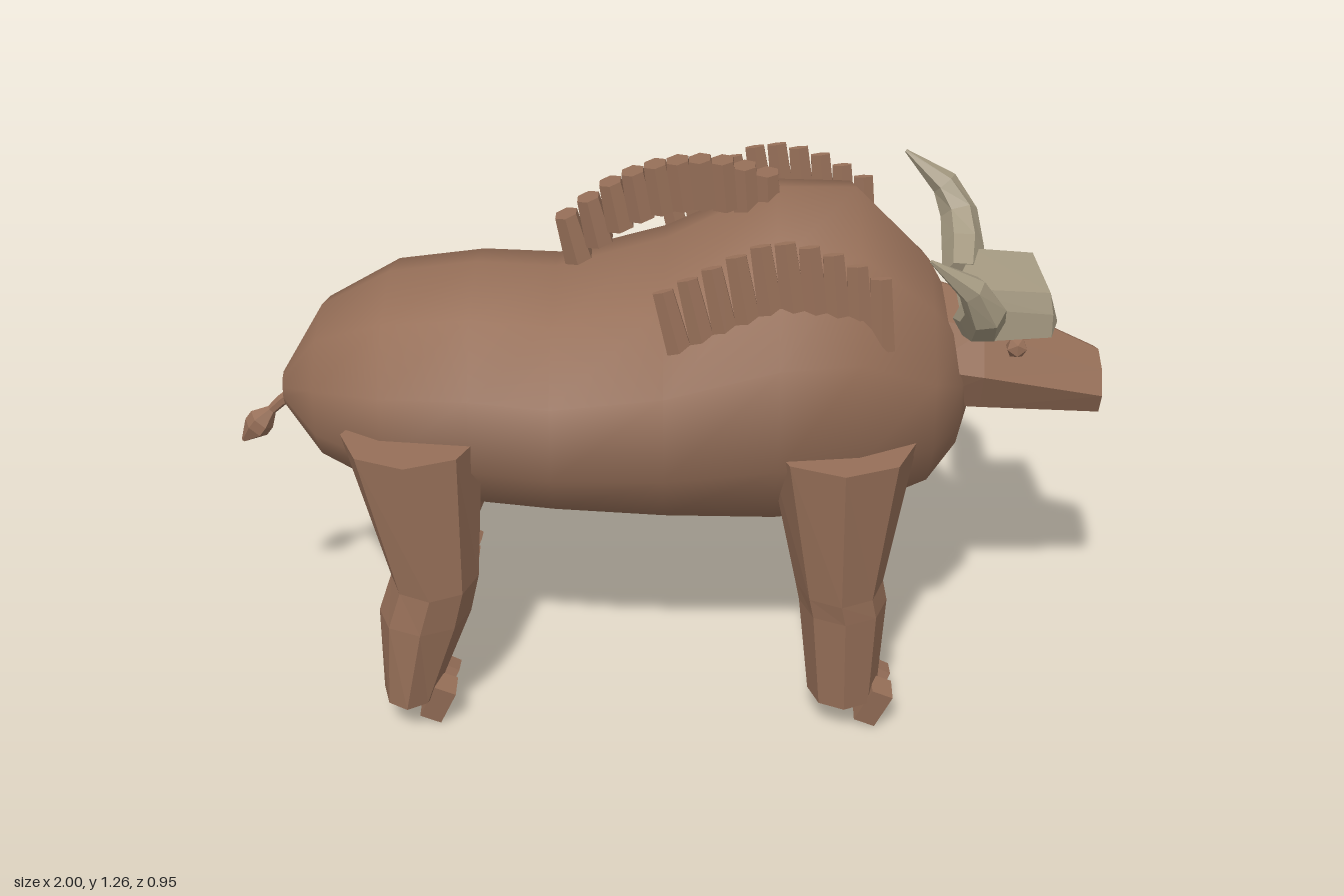
import * as THREE from 'three';

const hide = new THREE.MeshStandardMaterial({ color: 0x966f58 });
hide.name = 'brown hide';
const horn = new THREE.MeshStandardMaterial({ color: 0xa39880 });
horn.name = 'pale horn';

// Closed loft through rings of equal point count; turned outward by its signed volume
function loft(rings, smooth = false) {
  const n = rings[0].length;
  const pts = rings.flat();
  const idx = [];
  for (let i = 0; i < rings.length - 1; i++) {
    for (let j = 0; j < n; j++) {
      const a = i * n + j, b = i * n + (j + 1) % n;
      idx.push(a, b, a + n, b, b + n, a + n);
    }
  }
  [0, rings.length - 1].forEach((r, end) => {
    const mid = new THREE.Vector3();
    rings[r].forEach(p => mid.addScaledVector(p, 1 / n));
    pts.push(mid);
    for (let j = 0; j < n; j++) {
      const a = r * n + j, b = r * n + (j + 1) % n;
      if (end) idx.push(a, b, pts.length - 1);
      else idx.push(b, a, pts.length - 1);
    }
  });
  let volume = 0;
  for (let i = 0; i < idx.length; i += 3) {
    volume += pts[idx[i]].dot(pts[idx[i + 1]].clone().cross(pts[idx[i + 2]]));
  }
  if (volume < 0) idx.reverse();
  const g = new THREE.BufferGeometry().setFromPoints(pts);
  g.setIndex(idx);
  if (smooth) { g.computeVertexNormals(); return g; }
  return flat(g);
}

function flat(g) {
  const f = g.index ? g.toNonIndexed() : g;
  f.computeVertexNormals();
  return f;
}

// Elliptical ring: centre c, spanned by vectors u and v
function ring(c, u, v, n) {
  return Array.from({ length: n }, (_, i) => {
    const a = i / n * Math.PI * 2;
    return c.clone().addScaledVector(u, Math.cos(a)).addScaledVector(v, Math.sin(a));
  });
}
const V = (x, y, z) => new THREE.Vector3(x, y, z);

// Ring standing across the x axis, first corner straight up
const crossRing = (x, y0, y1, rz, n) =>
  ring(V(x, (y0 + y1) / 2, 0), V(0, (y1 - y0) / 2, 0), V(0, 0, rz), n);

// Tapering tube along a list of [x, y, z, radius]
function taper(path, n) {
  const c = path.map(p => V(p[0], p[1], p[2]));
  return loft(path.map((p, i) => {
    const t = c[Math.min(i + 1, c.length - 1)].clone().sub(c[Math.max(i - 1, 0)]).normalize();
    const u = V(1, 0, 0).addScaledVector(t, -t.x).normalize();
    const v = t.clone().cross(u);
    return ring(c[i], u.multiplyScalar(p[3]), v.multiplyScalar(p[3]), n);
  }));
}

export function createModel() {
  const model = new THREE.Group();
  const add = (name, geo, mat = hide, parent = model) => {
    const m = new THREE.Mesh(geo, mat);
    m.name = name;
    parent.add(m);
    return m;
  };

  // Body: x, bottom, top, half width
  add('body', loft([
    [-0.89, 0.64, 0.72, 0.03], [-0.79, 0.54, 0.89, 0.22], [-0.63, 0.47, 0.975, 0.33],
    [-0.43, 0.44, 1.0, 0.355], [-0.25, 0.425, 0.99, 0.37], [0, 0.412, 1.06, 0.4],
    [0.25, 0.405, 1.185, 0.425], [0.43, 0.42, 1.185, 0.4], [0.6, 0.49, 1.01, 0.3],
    [0.67, 0.57, 0.88, 0.18], [0.7, 0.65, 0.78, 0.06],
  ].map(s => crossRing(...s, 10)), true));

  // Head
  add('head', loft([
    crossRing(0.58, 0.66, 0.97, 0.17, 8),
    crossRing(0.72, 0.655, 0.925, 0.16, 8),
    crossRing(1.0, 0.64, 0.79, 0.095, 8),
  ]));

  // Folded horn boss across the forehead
  add('hornBoss', loft([
    [-0.18, [[0.72, 0.89], [0.86, 0.9], [0.86, 0.955], [0.72, 0.965]]],
    [0, [[0.63, 0.88], [0.9, 0.86], [0.88, 0.93], [0.66, 0.94]]],
    [0.18, [[0.72, 0.89], [0.86, 0.9], [0.86, 0.955], [0.72, 0.965]]],
  ].map(([z, p]) => p.map(([x, y]) => V(x, y, z)))), horn);

  // Leg sections: y, x, z, x radius, z radius
  const legs = {
    frontLeg: [[0.7, 0.395, 0.3, 0.168, 0.174], [0.35, 0.4, 0.31, 0.1, 0.125],
      [0.3, 0.41, 0.31, 0.1, 0.118], [0.065, 0.415, 0.315, 0.08, 0.095]],
    hindLeg: [[0.7, -0.562, 0.285, 0.158, 0.165], [0.36, -0.52, 0.315, 0.1, 0.125],
      [0.27, -0.545, 0.32, 0.105, 0.118], [0.065, -0.585, 0.325, 0.063, 0.1]],
  };
  const toeX = { frontLeg: 0.485, hindLeg: -0.52 };

  // Arched row of leaning tufts
  const mane = (name, z, x0, x1, arc, rx, rz, h) => {
    const group = new THREE.Group();
    group.name = name;
    const curve = new THREE.CatmullRomCurve3(arc.map(([x, y]) => V(x, y, 0)));
    for (let i = 0; i < 10; i++) {
      const t = i / 9;
      const p = curve.getPoint(t);
      const tuft = add('tuft', flat(new THREE.CylinderGeometry(0.8, 1, h, 6)), hide, group);
      tuft.scale.set(rx, 1, rz);
      tuft.position.set(x0 + (x1 - x0) * t, p.y, z);
      tuft.rotation.z = 0.25 - 0.2 * t;
    }
    model.add(group);
  };
  mane('spineMane', 0, -0.21, 0.23,
    [[-0.21, 1.065], [-0.06, 1.15], [0.06, 1.19], [0.14, 1.195], [0.23, 1.165]], 0.035, 0.046, 0.11);

  for (const s of [1, -1]) {
    const side = s > 0 ? 'left' : 'right';

    for (const [name, sections] of Object.entries(legs)) {
      add(side + name, loft(sections.map(([y, x, z, rx, rz]) =>
        ring(V(x, y, s * z), V(rx, 0, 0), V(0, 0, rz), 8))));
      // Two slanted toes
      for (const dz of [-0.04, 0.04]) {
        const toe = add(side + name + 'Toe', flat(new THREE.BoxGeometry(0.052, 0.095, 0.06)));
        toe.position.set(toeX[name], 0.053, s * 0.31 + dz);
        toe.rotation.set(dz * 4, 0, -0.42);
      }
    }

    // Horn sweeping out, up and back
    add(side + 'Horn', taper([
      [0.69, 0.92, s * 0.12, 0.045], [0.7, 0.955, s * 0.22, 0.05],
      [0.695, 1.01, s * 0.295, 0.045], [0.66, 1.075, s * 0.32, 0.033],
      [0.567, 1.148, s * 0.342, 0.004],
    ], 6), horn);

    // Eye and brow
    const eye = add(side + 'Eye', flat(new THREE.IcosahedronGeometry(0.026, 0)));
    eye.position.set(0.79, 0.857, s * 0.14);
    const brow = add(side + 'Brow', flat(new THREE.BoxGeometry(0.07, 0.018, 0.04)));
    brow.position.set(0.78, 0.892, s * 0.135);

    // Thin shoulder fringe
    mane(side + 'ShoulderMane', s * 0.31, 0.02, 0.47,
      [[0.02, 0.98], [0.13, 1.04], [0.25, 1.09], [0.36, 1.07], [0.47, 1.01]], 0.032, 0.012, 0.17);
  }

  // Tail strand and tuft
  add('tail', taper([[-0.85, 0.68, 0, 0.018], [-0.9, 0.645, 0, 0.014], [-0.945, 0.602, 0, 0.01]], 6));
  add('tailTuft', taper([[-0.915, 0.632, 0, 0.004], [-0.95, 0.595, 0, 0.032],
    [-0.965, 0.575, 0, 0.032], [-0.998, 0.54, 0, 0.005]], 6));

  return model;
}
